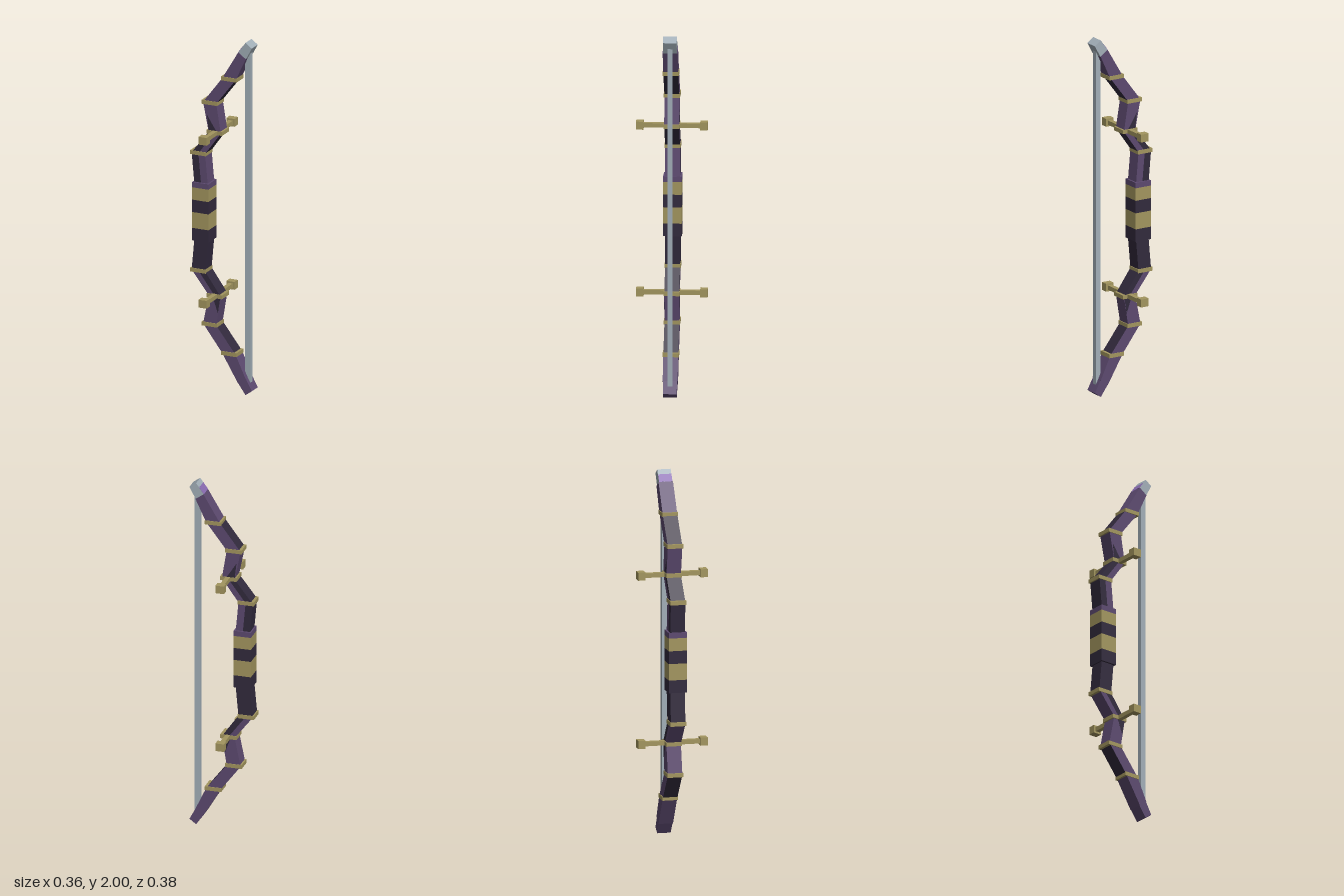
import * as THREE from 'three';

const mat = (name, color) => {
  const m = new THREE.MeshStandardMaterial({ color });
  m.name = name;
  return m;
};

export function createModel() {
  const dark = mat('darkWood', 0x322a3d);
  const purple = mat('purpleWood', 0x5d4a70);
  const violet = mat('violet', 0x8a6cb2);
  const gold = mat('gold', 0xa3965f);
  const steel = mat('paleSteel', 0xa2afb8);
  const bow = new THREE.Group();
  bow.name = 'bow';

  // Prism over an outline in the front plane, given anticlockwise or clockwise
  const prism = (name, points, halfDepth, faceMat, sideMat = faceMat) => {
    const shape = new THREE.Shape(points.map(([x, y]) => new THREE.Vector2(x, y)));
    const geo = new THREE.ExtrudeGeometry(shape, { depth: halfDepth * 2, bevelEnabled: false });
    geo.translate(0, 0, -halfDepth);
    const mesh = new THREE.Mesh(geo, [faceMat, sideMat]);
    mesh.name = name;
    bow.add(mesh);
  };
  const box = (name, w, h, d, x, y, z, material) => {
    const mesh = new THREE.Mesh(new THREE.BoxGeometry(w, h, d), material);
    mesh.name = name;
    mesh.position.set(x, y, z);
    bow.add(mesh);
  };

  // Banded grip, from bottom to top
  [[0.84, 0.91, dark], [0.91, 1.0, gold], [1.0, 1.07, dark], [1.07, 1.14, gold], [1.14, 1.17, purple]]
    .forEach(([y0, y1, m]) => box('gripBand', 0.097, y1 - y0, 0.1, -0.12, (y0 + y1) / 2, 0, m));

  // Limb joints: outer corner, inner corner
  const joints = [
    [[-0.16, 1.16], [-0.08, 1.16]],
    [[-0.176, 1.335], [-0.096, 1.335]],
    [[-0.075, 1.465], [-0.003, 1.465]],
    [[-0.108, 1.63], [-0.03, 1.63]],
    [[0.005, 1.78], [0.085, 1.78]],
    [[0.1, 1.94], [0.145, 1.908]],
  ];
  const tip = [[0.1, 1.94], [0.142, 2.0], [0.18, 1.973], [0.145, 1.908]];
  const mid = ([a, b]) => [(a[0] + b[0]) / 2, (a[1] + b[1]) / 2];

  // Per segment: outer half face, outer side, inner half face, inner side
  const upper = [
    [dark, dark, purple, purple],
    [dark, dark, purple, dark],
    [purple, purple, purple, purple],
    [purple, dark, purple, dark],
    [purple, purple, purple, purple],
  ];
  const lower = [
    [dark, dark, dark, dark],
    [purple, purple, dark, dark],
    [purple, purple, purple, purple],
    [purple, dark, purple, dark],
    [purple, purple, purple, purple],
  ];

  for (const isUpper of [true, false]) {
    const side = isUpper ? 'upper' : 'lower';
    const flip = ([x, y]) => [x, isUpper ? y : 2.005 - y];
    const colours = isUpper ? upper : lower;

    // Limb segments in an outer and an inner half
    for (let i = 0; i < 5; i++) {
      const a = joints[i], b = joints[i + 1], ma = mid(a), mb = mid(b);
      const [of, os, inf, ins] = colours[i];
      prism(side + 'LimbOuter', [a[0], ma, mb, b[0]].map(flip), 0.04, of, os);
      prism(side + 'LimbInner', [ma, a[1], b[1], mb].map(flip), 0.04, inf, ins);
    }

    // Dark wedge inlaid in the third segment
    const wedge = isUpper
      ? [[-0.075, 1.475], [-0.03, 1.475], [-0.085, 1.56]]
      : [[-0.05, 1.475], [-0.007, 1.475], [-0.02, 1.56]];
    prism(side + 'Inlay', wedge.map(flip), 0.0405, dark);

    // Limb tip
    prism(side + 'Tip', tip.map(flip), 0.037, isUpper ? steel : purple);
    if (isUpper) {
      prism('tipPlate', [[0.0985, 1.941], [0.124, 1.977], [0.126, 1.976], [0.101, 1.94]], 0.0368, violet);
    }

    // Gold bands over the joints
    for (const [x, y] of [[-0.137, 1.335], [-0.04, 1.465], [-0.069, 1.63], [0.046, 1.78]]) {
      box(side + 'Band', 0.092, 0.022, 0.087, x, flip([x, y])[1], 0, gold);
    }

    // Cross rod with square ends
    const rodY = flip([0, 1.464])[1];
    box(side + 'Rod', 0.025, 0.024, 0.32, -0.037, rodY, 0, gold);
    for (const s of [-1, 1]) box(side + 'RodEnd', 0.048, 0.044, 0.04, -0.038, rodY, s * 0.172, gold);
  }

  // Bowstring
  box('string', 0.031, 1.89, 0.026, 0.144, 1.005, 0, steel);
  return bow;
}
